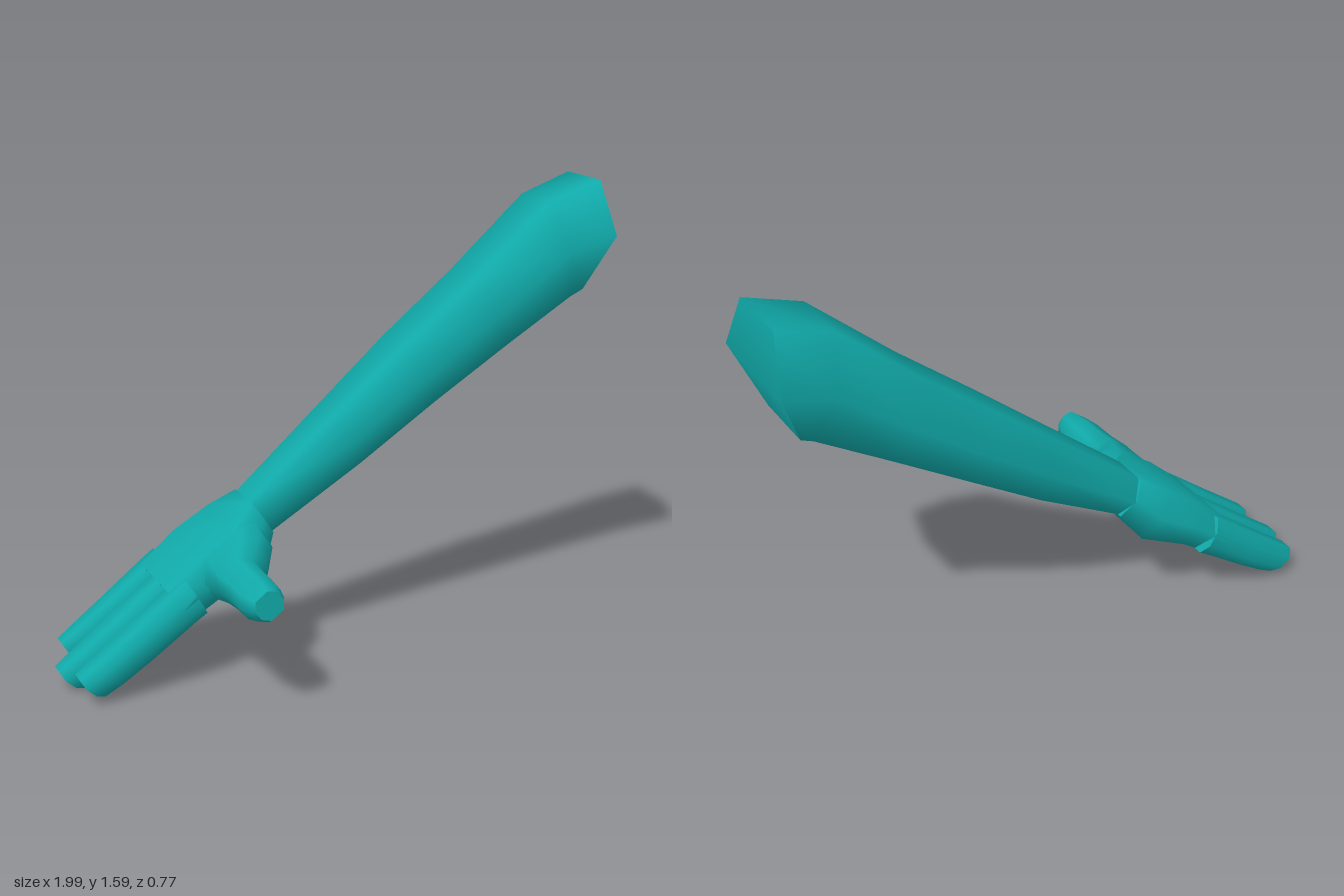
import * as THREE from 'three';

const HEX = [[1, 0], [0.57, 1], [-0.57, 1], [-1, 0], [-0.57, -1], [0.57, -1]];
const OCT = [[1, 0.4], [0.55, 1], [-0.55, 1], [-1, 0.4], [-1, -0.4], [-0.55, -1], [0.55, -1], [1, -0.4]];
const PALM = [[1, 0.1], [0.72, 1], [-0.72, 1], [-1, 0.1], [-0.72, -1], [0.72, -1]];

// Cross-section from its top and bottom points (x, y) and its z range; bulge shifts the middle
function section(profile, [tx, ty, bx, by, zMax, zMin, bulgeX = 0, bulgeY = 0]) {
  return profile.map(([u, v]) => {
    const t = (v + 1) / 2, k = 1 - Math.abs(v);
    return [
      THREE.MathUtils.lerp(bx, tx, t) + bulgeX * k,
      THREE.MathUtils.lerp(by, ty, t) + bulgeY * k,
      THREE.MathUtils.lerp(zMin, zMax, (u + 1) / 2),
    ];
  });
}

// Smooth skin through the rings, with hard-edged end caps
function loft(rings) {
  const n = rings[0].length, last = rings.length - 1;
  const pos = rings.flat(2), index = [];
  for (let r = 0; r < last; r++) {
    for (let i = 0; i < n; i++) {
      const a = r * n + i, b = r * n + (i + 1) % n;
      index.push(a, b, b + n, a, b + n, a + n);
    }
  }
  for (const [ring, flip] of [[rings[0], true], [rings[last], false]]) {
    const s = pos.length / 3;
    pos.push(...ring.flat());
    for (let i = 1; i < n - 1; i++) {
      if (flip) index.push(s, s + i + 1, s + i);
      else index.push(s, s + i, s + i + 1);
    }
  }
  const g = new THREE.BufferGeometry();
  g.setAttribute('position', new THREE.Float32BufferAttribute(pos, 3));
  g.setIndex(index);
  g.computeVertexNormals();
  return g;
}

export function createModel() {
  const group = new THREE.Group();
  const teal = new THREE.MeshStandardMaterial({ color: 0x11a9a9 });
  teal.name = 'teal';
  const add = (name, rings) => {
    const mesh = new THREE.Mesh(loft(rings), teal);
    mesh.name = name;
    group.add(mesh);
  };

  // Arm, from the cut end down to the wrist
  add('arm', [
    [0.97, 1.595, 0.915, 1.215, 0, -0.385, 0.052, 0.005],
    [0.78, 1.53, 0.87, 1.19, -0.015, -0.368],
    [0.5, 1.28, 0.62, 1.03, -0.035, -0.362],
    [0.23, 1.06, 0.36, 0.86, -0.052, -0.355],
    [-0.02, 0.85, 0.08, 0.67, -0.07, -0.325],
    [-0.33, 0.59, -0.25, 0.47, -0.08, -0.288],
  ].map((s) => section(HEX, s)));

  // Palm, from the wrist to the knuckles
  add('palm', [
    [-0.33, 0.59, -0.25, 0.47, -0.08, -0.288],
    [-0.42, 0.535, -0.32, 0.37, 0.03, -0.345],
    [-0.54, 0.45, -0.48, 0.3, 0.04, -0.376],
    [-0.655, 0.345, -0.575, 0.235, 0.028, -0.38],
  ].map((s) => section(PALM, s)));

  // Fingers: z centre, half width, shortening at the tip
  [
    ['indexFinger', -0.034, 0.062, 0.03],
    ['middleFinger', -0.178, 0.064, 0],
    ['outerFinger', -0.319, 0.059, 0.048],
  ].forEach(([name, z, w, cut]) => {
    add(name, [
      [-0.6, 0.385, -0.53, 0.265, 1, 0],
      [-0.66, 0.34, -0.58, 0.232, 1, 0.1],
      [-0.82, 0.213, -0.74, 0.117, 0.97, 0.5],
      [-0.95, 0.113, -0.85, 0.041, 0.88, 0.9],
      [-1, 0.075, -0.915, 0.003, 0.76, 1, -0.014, -0.012],
    ].map(([tx, ty, bx, by, k, t, ...bulge]) => section(OCT, [
      tx + cut * t, ty + cut * t * 0.8, bx + cut * t, by + cut * t * 0.8,
      z + w * k, z - w * k, ...bulge,
    ])));
  });

  // Thumb: centre, half length along the hand, half thickness, z
  add('thumb', [
    [-0.42, 0.43, 0.14, 0.08, -0.1],
    [-0.425, 0.42, 0.125, 0.085, 0.02],
    [-0.44, 0.41, 0.095, 0.082, 0.075],
    [-0.457, 0.408, 0.075, 0.073, 0.125],
    [-0.457, 0.41, 0.07, 0.064, 0.2],
    [-0.457, 0.41, 0.068, 0.062, 0.3],
    [-0.457, 0.413, 0.058, 0.054, 0.35],
    [-0.457, 0.418, 0.047, 0.044, 0.382],
  ].map(([x, y, a, b, z]) => OCT.map(([u, v]) => [
    x + 0.8 * a * u - 0.6 * b * v, y + 0.6 * a * u + 0.8 * b * v, z,
  ])));

  return group;
}
